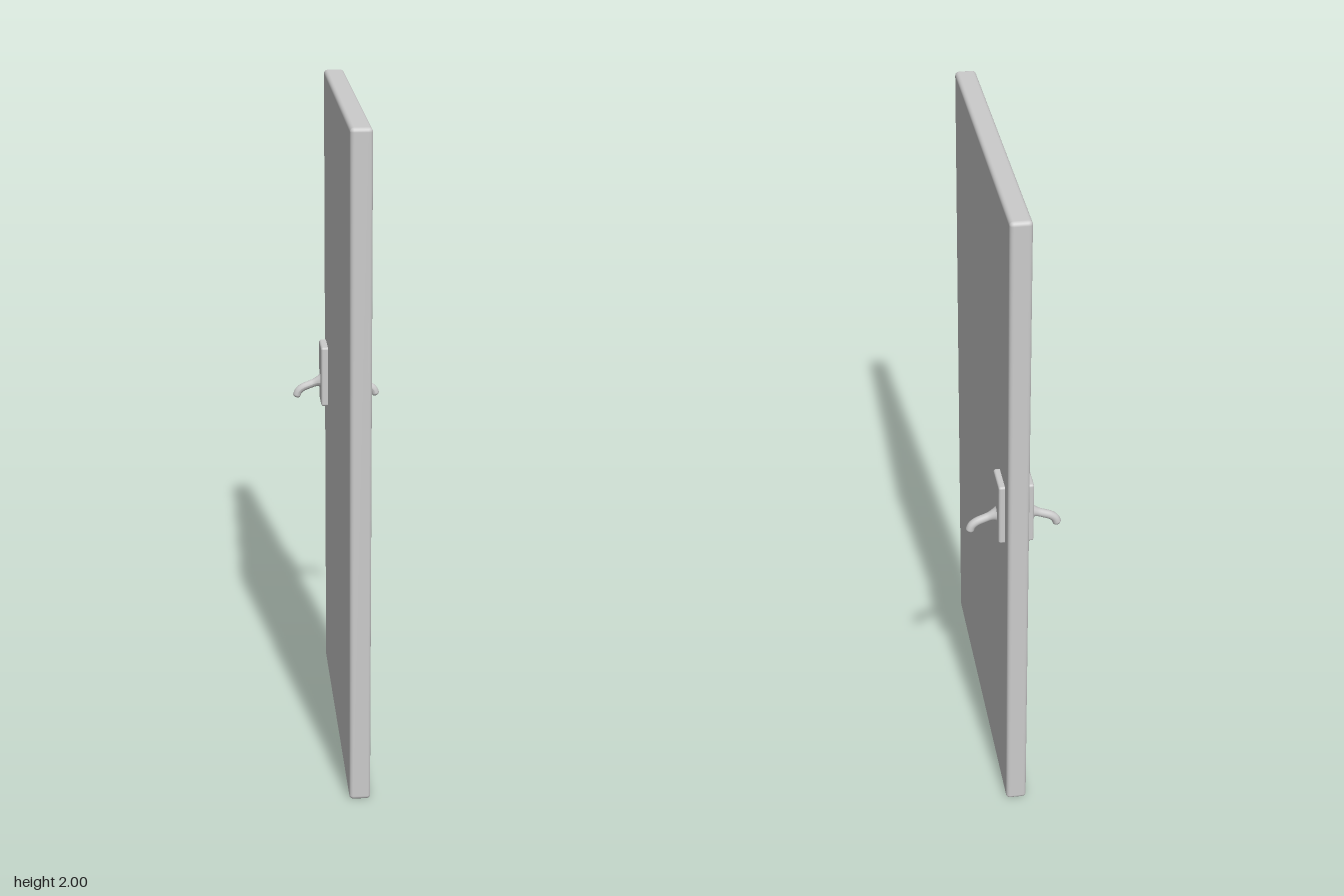
import * as THREE from 'three';
import { RoundedBoxGeometry } from 'three/addons/geometries/RoundedBoxGeometry.js';

const material = new THREE.MeshStandardMaterial({ color: 0xcccccc });
const HANDLE_Z = -0.39;

function addMesh(parent, name, geometry, x = 0, y = 0, z = 0) {
  const mesh = new THREE.Mesh(geometry, material);
  mesh.name = name;
  mesh.position.set(x, y, z);
  parent.add(mesh);
}

// Tube along a curve whose radius follows radiusAt(u), u = 0..1
function taperedTube(curve, radiusAt, steps, sides) {
  const geometry = new THREE.TubeGeometry(curve, steps, 1, sides, false);
  const pos = geometry.attributes.position;
  const v = new THREE.Vector3();
  for (let i = 0; i <= steps; i++) {
    const centre = curve.getPointAt(i / steps);
    const radius = radiusAt(i / steps);
    for (let j = 0; j <= sides; j++) {
      const k = i * (sides + 1) + j;
      v.fromBufferAttribute(pos, k).sub(centre).multiplyScalar(radius).add(centre);
      pos.setXYZ(k, v.x, v.y, v.z);
    }
  }
  geometry.computeVertexNormals();
  return geometry;
}

// Wide at the plate, slim along the grip, rounded at the tip
function leverRadius(u) {
  const flare = 0.0125 + 0.013 * Math.pow(Math.max(0, 1 - u / 0.3), 2);
  const cap = Math.max(0, (u - 0.91) / 0.09);
  return flare * Math.sqrt(Math.max(0.0001, 1 - cap * cap));
}

function createHandle(side) {
  const handle = new THREE.Group();
  handle.name = side > 0 ? 'leftHandle' : 'rightHandle';

  // Backplate, partly sunk in the door
  addMesh(handle, 'backplate', new RoundedBoxGeometry(0.04, 0.195, 0.1, 3, 0.007), side * 0.031, 1.047, HANDLE_Z);

  // Lever, drooping towards its tip
  const path = [[0.045, 1.021], [0.06, 1.018], [0.085, 1.009], [0.107, 1.0], [0.121, 0.988], [0.129, 0.967]];
  const curve = new THREE.CatmullRomCurve3(path.map(([x, y]) => new THREE.Vector3(side * x, y, 0)));
  addMesh(handle, 'lever', taperedTube(curve, leverRadius, 48, 16), 0, 0, HANDLE_Z);
  return handle;
}

export function createModel() {
  const model = new THREE.Group();
  model.name = 'door';

  // Slab with softened edges
  addMesh(model, 'doorPanel', new RoundedBoxGeometry(0.062, 2, 0.985, 3, 0.012), 0.002, 1, 0);

  // One handle on each face
  for (const side of [1, -1]) model.add(createHandle(side));
  return model;
}
